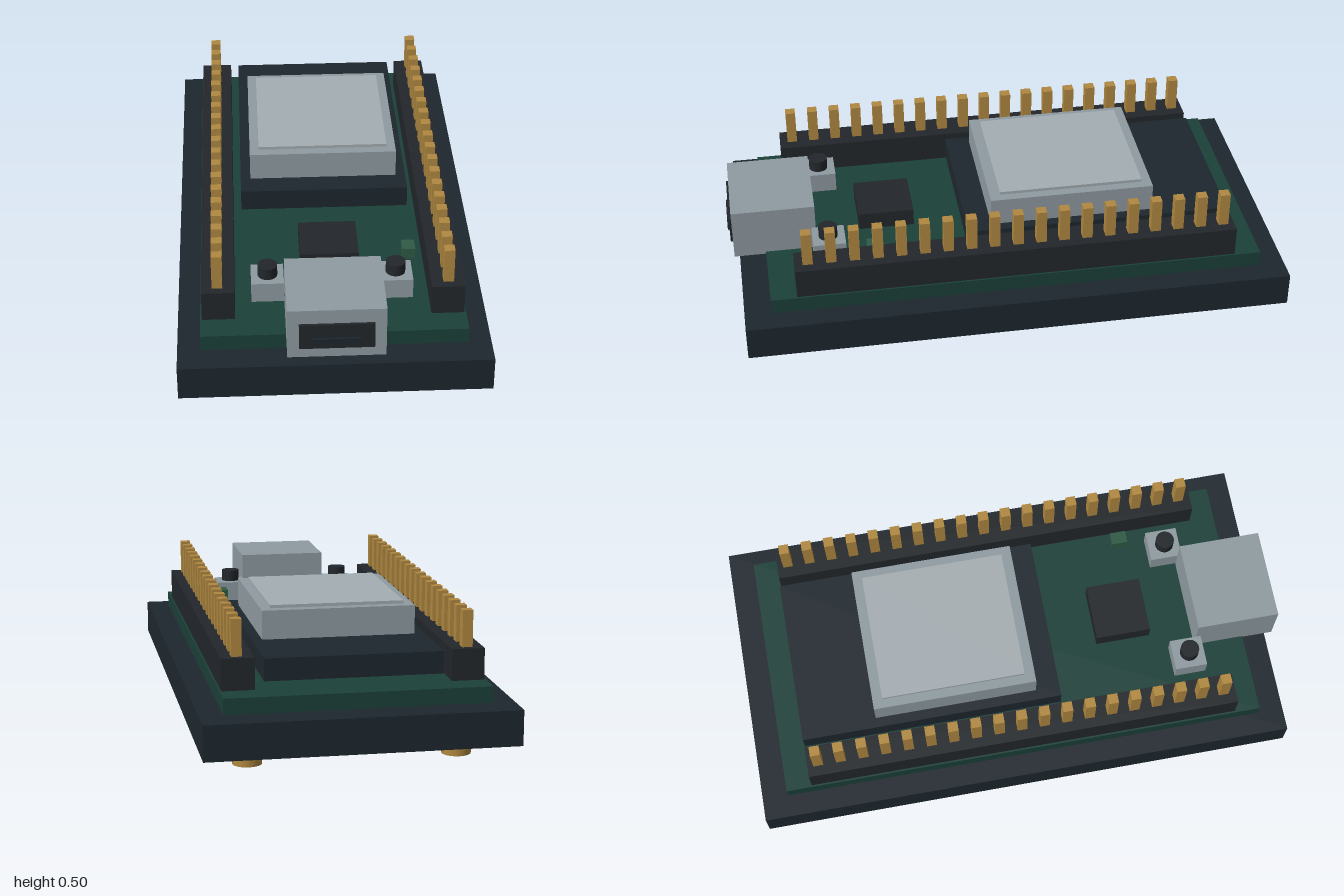
import * as THREE from 'three';

const material = (color) => new THREE.MeshStandardMaterial({ color });

export function createModel() {
  const model = new THREE.Group();
  const navy = material(0x1e272e);
  const black = material(0x22272b);
  const green = material(0x1b4038);
  const paleGreen = material(0x2f5a45);
  const brass = material(0xb08840);
  const silver = material(0x8f9ba1);
  const paleSilver = material(0xa4adb2);

  const add = (name, geometry, mat, x, y, z, parent = model) => {
    const mesh = new THREE.Mesh(geometry, mat);
    mesh.name = name;
    mesh.position.set(x, y, z);
    parent.add(mesh);
  };
  // Box given by its extents along each axis
  const box = (name, mat, [x0, x1], [y0, y1], [z0, z1], parent = model) =>
    add(name, new THREE.BoxGeometry(x1 - x0, y1 - y0, z1 - z0), mat,
      (x0 + x1) / 2, (y0 + y1) / 2, (z0 + z1) / 2, parent);

  // Base plate and circuit board
  box('basePlate', navy, [-0.534, 0.534], [0.075, 0.199], [-1, 0.966]);
  box('circuitBoard', green, [-0.455, 0.455], [0.203, 0.259], [-0.905, 0.87]);

  // Radio module: carrier, metal shield and raised lid
  box('moduleCarrier', navy, [-0.306, 0.306], [0.287, 0.365], [-0.812, 0.145]);
  box('moduleShield', silver, [-0.27, 0.27], [0.365, 0.467], [-0.538, 0.057]);
  box('shieldLid', paleSilver, [-0.237, 0.237], [0.46, 0.478], [-0.502, 0.02]);

  // Chip and small component
  box('chip', black, [-0.103, 0.103], [0.275, 0.34], [0.32, 0.522]);
  box('statusLight', paleGreen, [0.257, 0.303], [0.304, 0.343], [0.452, 0.51]);

  // Port with dark opening and tongue
  const port = new THREE.Group();
  port.name = 'port';
  model.add(port);
  box('portShell', silver, [-0.165, 0.165], [0.25, 0.439], [0.684, 0.984], port);
  box('portOpening', black, [-0.126, 0.126], [0.29, 0.386], [0.93, 0.993], port);
  box('portTongue', navy, [-0.08, 0.08], [0.311, 0.333], [0.93, 1], port);

  // Parts mirrored on both sides
  const pinCount = 19;
  const pinGeometry = new THREE.BoxGeometry(0.036, 0.237, 0.036);
  const footGeometry = new THREE.CylinderGeometry(0.051, 0.051, 0.204, 24);
  const capGeometry = new THREE.CylinderGeometry(0.034, 0.034, 0.05, 24);
  for (const side of [-1, 1]) {
    const label = side > 0 ? 'left' : 'right';
    const header = new THREE.Group();
    header.name = label + 'PinHeader';
    model.add(header);
    add('headerStrip', new THREE.BoxGeometry(0.113, 0.11, 1.587), black, side * 0.392, 0.314, -0.017, header);
    for (let i = 0; i < pinCount; i++) {
      const z = -0.77 + (1.5 * i) / (pinCount - 1);
      add('pin', pinGeometry, brass, side * 0.394, 0.3785, z, header);
    }

    const button = new THREE.Group();
    button.name = label + 'Button';
    model.add(button);
    add('buttonBody', new THREE.BoxGeometry(0.113, 0.074, 0.117), silver, side * 0.222, 0.31, 0.642, button);
    add('buttonCap', capGeometry, black, side * 0.221, 0.364, 0.644, button);

    for (const z of [-0.784, 0.744]) {
      add('standoffFoot', footGeometry, brass, side * 0.361, 0.102, z);
    }
  }
  return model;
}
